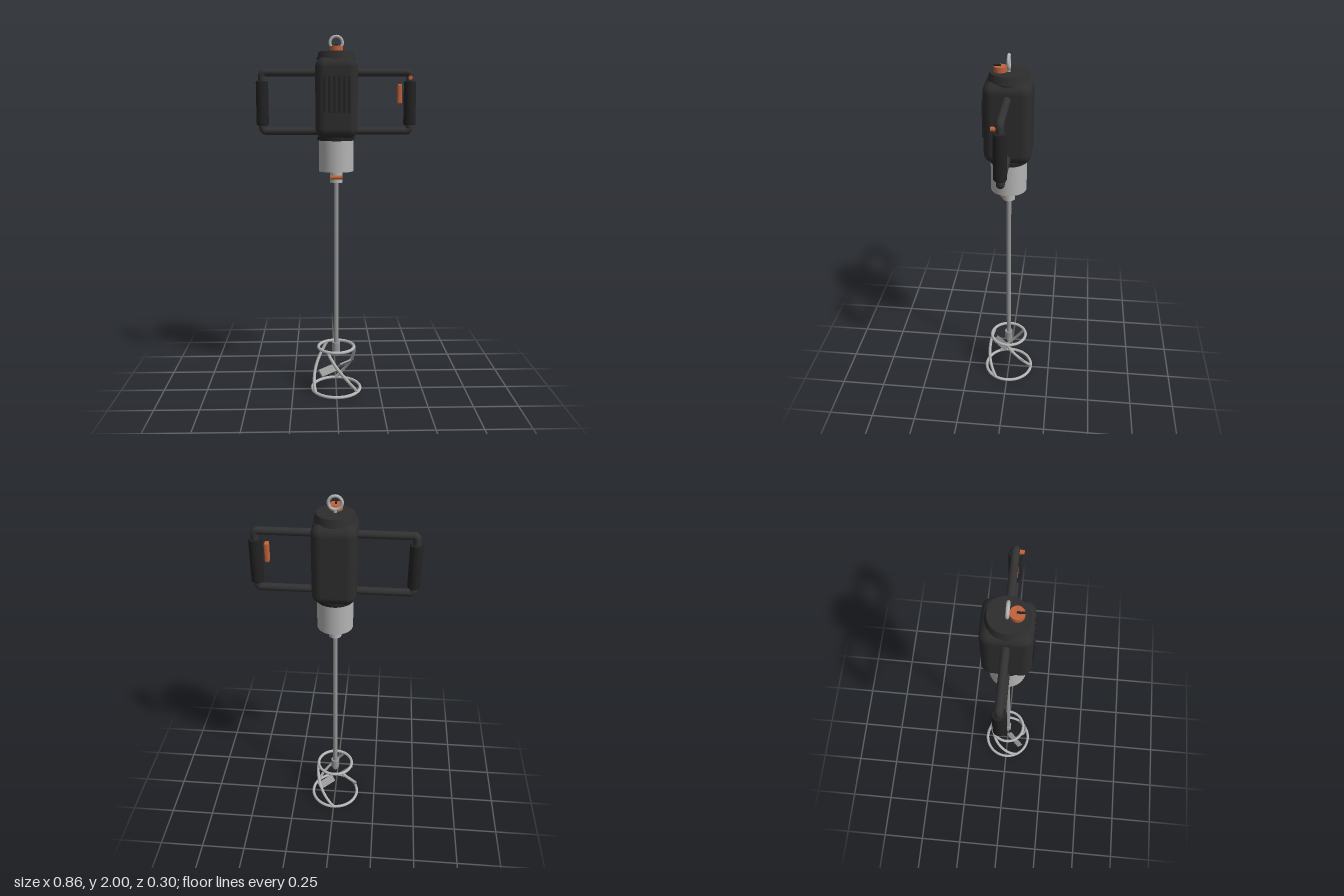
import * as THREE from 'three';
import { RoundedBoxGeometry } from 'three/addons/geometries/RoundedBoxGeometry.js';

const material = (name, color) => {
  const m = new THREE.MeshStandardMaterial({ color });
  m.name = name;
  return m;
};

export function createModel() {
  const model = new THREE.Group();
  model.name = 'paddleMixer';
  const housing = material('charcoal housing', 0x2d2d2d);
  const rubber = material('dark rubber', 0x222222);
  const tubing = material('handle grey', 0x323232);
  const silver = material('silver casting', 0xb4b4b4);
  const steel = material('steel', 0x969696);
  const orange = material('orange controls', 0xc0623a);

  const add = (name, geometry, mat, x = 0, y = 0, z = 0, parent = model) => {
    const mesh = new THREE.Mesh(geometry, mat);
    mesh.name = name;
    mesh.position.set(x, y, z);
    parent.add(mesh);
    return mesh;
  };
  // Upright cylinder between two heights
  const post = (name, mat, y0, y1, rBottom, rTop = rBottom, x = 0, z = 0) =>
    add(name, new THREE.CylinderGeometry(rTop, rBottom, y1 - y0, 40), mat, x, (y0 + y1) / 2, z);
  const rbox = (w, h, d, r) => new RoundedBoxGeometry(w, h, d, 5, r);

  // Motor housing with front vents
  add('motorHousing', rbox(0.224, 0.42, 0.244, 0.05), housing, 0, 1.67, 0);
  for (let i = 0; i < 6; i++) {
    add('vent', new THREE.BoxGeometry(0.014, 0.185, 0.009), rubber, -0.065 + i * 0.026, 1.687, 0.1225);
  }

  // Top cap and lower collar
  post('capNeck', housing, 1.86, 1.88, 0.1);
  post('topCap', housing, 1.875, 1.912, 0.104, 0.093);
  post('collar', rubber, 1.446, 1.466, 0.101);

  // Lifting eye
  add('liftingEye', new THREE.TorusGeometry(0.033, 0.008, 12, 40), silver, 0, 1.959, 0);
  post('eyeStem', silver, 1.905, 1.925, 0.009);

  // Speed dial with pointer
  post('speedDial', orange, 1.91, 1.938, 0.034, 0.034, 0, 0.041);
  add('dialPointer', new THREE.BoxGeometry(0.008, 0.01, 0.036), rubber, 0, 1.941, 0.056);

  // Gearbox, chuck and cross pin
  post('gearbox', silver, 1.278, 1.448, 0.095);
  post('chuck', silver, 1.214, 1.28, 0.034);
  add('chuckPin', new THREE.CylinderGeometry(0.011, 0.011, 0.065, 20), orange, 0, 1.245, 0.03).rotation.z = Math.PI / 2;

  // Side handles: bent tube frame with a rubber grip
  for (const side of [-1, 1]) {
    const handle = new THREE.Group();
    handle.name = side > 0 ? 'leftHandle' : 'rightHandle';
    model.add(handle);
    const p = (x, y) => new THREE.Vector3(side * x, y, 0);
    const [inner, outer, low, high, bend] = [0.09, 0.397, 1.495, 1.805, 0.02];
    const path = new THREE.CurvePath();
    path.add(new THREE.LineCurve3(p(inner, high), p(outer - bend, high)));
    path.add(new THREE.QuadraticBezierCurve3(p(outer - bend, high), p(outer, high), p(outer, high - bend)));
    path.add(new THREE.LineCurve3(p(outer, high - bend), p(outer, low + bend)));
    path.add(new THREE.QuadraticBezierCurve3(p(outer, low + bend), p(outer, low), p(outer - bend, low)));
    path.add(new THREE.LineCurve3(p(outer - bend, low), p(inner, low)));
    add('handleTube', new THREE.TubeGeometry(path, 160, 0.02, 16), tubing, 0, 0, 0, handle);
    const grip = [[0, -0.117], [0.029, -0.117], [0.033, -0.111], [0.033, 0.111], [0.029, 0.117], [0, 0.117]];
    add('grip', new THREE.LatheGeometry(grip.map(([x, y]) => new THREE.Vector2(x, y)), 32),
      rubber, side * outer, 1.644, 0, handle);
  }

  // Trigger and lock button on the left handle
  add('trigger', rbox(0.024, 0.105, 0.036, 0.008), orange, 0.341, 1.692, 0);
  add('lockButton', new THREE.CylinderGeometry(0.011, 0.011, 0.03, 20), orange, 0.395, 1.777, 0.027).rotation.x = Math.PI / 2;

  // Drive shaft and hub
  post('shaft', steel, 0.21, 1.22, 0.013);
  post('hub', steel, 0.23, 0.288, 0.023);

  // Mixing cage: two rings joined by three twisted bars
  const ring = (name, r, y) =>
    (add(name, new THREE.TorusGeometry(r, 0.009, 12, 64), silver, 0, y, 0).rotation.x = Math.PI / 2);
  ring('upperRing', 0.102, 0.26);
  ring('lowerRing', 0.139, 0.01);
  for (let k = 0; k < 3; k++) {
    const points = [];
    for (let i = 0; i <= 12; i++) {
      const t = i / 12;
      const a = k * Math.PI * 2 / 3 - t * Math.PI / 2;
      const r = 0.102 + 0.036 * t;
      points.push(new THREE.Vector3(r * Math.cos(a), 0.26 - 0.25 * t, r * Math.sin(a)));
    }
    add('cageBar', new THREE.TubeGeometry(new THREE.CatmullRomCurve3(points), 40, 0.009, 10), silver);
  }

  // Two pitched blades
  for (const angle of [Math.PI * 0.75, -Math.PI * 0.25]) {
    const arm = new THREE.Group();
    arm.name = 'bladeArm';
    arm.rotation.y = -angle;
    model.add(arm);
    add('blade', new THREE.BoxGeometry(0.115, 0.009, 0.045), steel, 0.073, 0.135, 0, arm).rotation.x = -Math.PI / 4;
  }
  return model;
}
